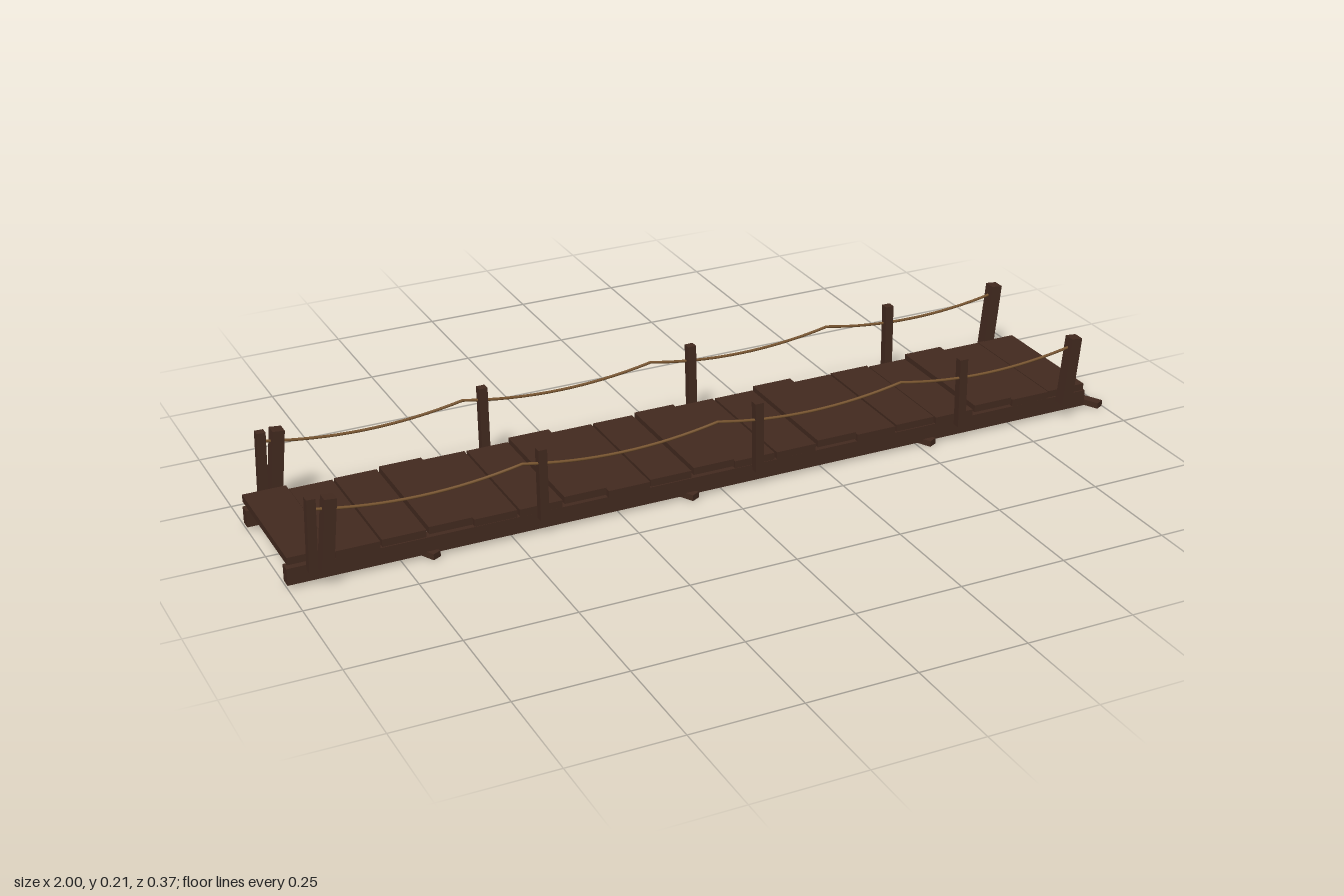
import * as THREE from 'three';

const wood = new THREE.MeshStandardMaterial({ color: 0x432a1f });
wood.name = 'dark wood';
const hemp = new THREE.MeshStandardMaterial({ color: 0x7a5630 });
hemp.name = 'rope brown';

export function createModel() {
  const model = new THREE.Group();
  model.name = 'footbridge';

  function box(name, size, position, rotation = [0, 0, 0]) {
    const mesh = new THREE.Mesh(new THREE.BoxGeometry(...size), wood);
    mesh.name = name;
    mesh.position.set(...position);
    mesh.rotation.set(...rotation);
    model.add(mesh);
  }

  // Deck planks, some sitting proud of the others and slightly longer
  const pitch = 1.953 / 19;
  const raised = [0, 3, 6, 9, 12, 16];
  const long = [6, 7, 12, 16];
  for (let i = 0; i < 19; i++) {
    const y = raised.includes(i) ? 0.064 : 0.055 + (i % 3) * 0.001;
    const depth = long.includes(i) ? 0.317 : 0.31;
    const z = i === 18 ? -0.006 : -0.003 + (i % 2) * 0.003;
    box('plank', [0.098, 0.017, depth], [-1 + pitch * (i + 0.5), y, z]);
  }

  // Diagonal braces under the beams
  for (const x of [-0.765, -0.16, 0.445, 0.903]) {
    box('brace', [0.022, 0.014, 0.373], [x, 0.007, 0], [0, 0.49, 0]);
  }

  for (const side of [-1, 1]) {
    // Long bearing beam
    box('beam', [1.953, 0.039, 0.025], [-0.0235, 0.0275, side * 0.14]);

    // Slim posts: [x, lean]
    for (const [x, lean] of [[-0.947, -0.03], [-0.436, 0.01], [0.078, 0.02], [0.599, 0.01]]) {
      box('railPost', [0.02, 0.168, 0.019], [x, 0.123, side * 0.168], [0, 0, lean]);
    }

    // Thick leaning end posts
    for (const x of [-0.914, 0.889]) {
      box('endPost', [0.027, 0.166, 0.028], [x, 0.121, side * 0.1725], [0, 0, -0.1]);
    }

    // Hand rope sagging in four spans
    const spans = new THREE.CurvePath();
    const step = 0.4585;
    for (let i = 0; i < 4; i++) {
      const x = -0.94 + i * step;
      spans.add(new THREE.QuadraticBezierCurve3(
        new THREE.Vector3(x, 0.182, side * 0.172),
        new THREE.Vector3(x + step / 2, 0.136, side * 0.172),
        new THREE.Vector3(x + step, 0.182, side * 0.172)
      ));
    }
    const rope = new THREE.Mesh(new THREE.TubeGeometry(spans, 64, 0.0032, 6), hemp);
    rope.name = 'handRope';
    model.add(rope);
  }

  return model;
}
